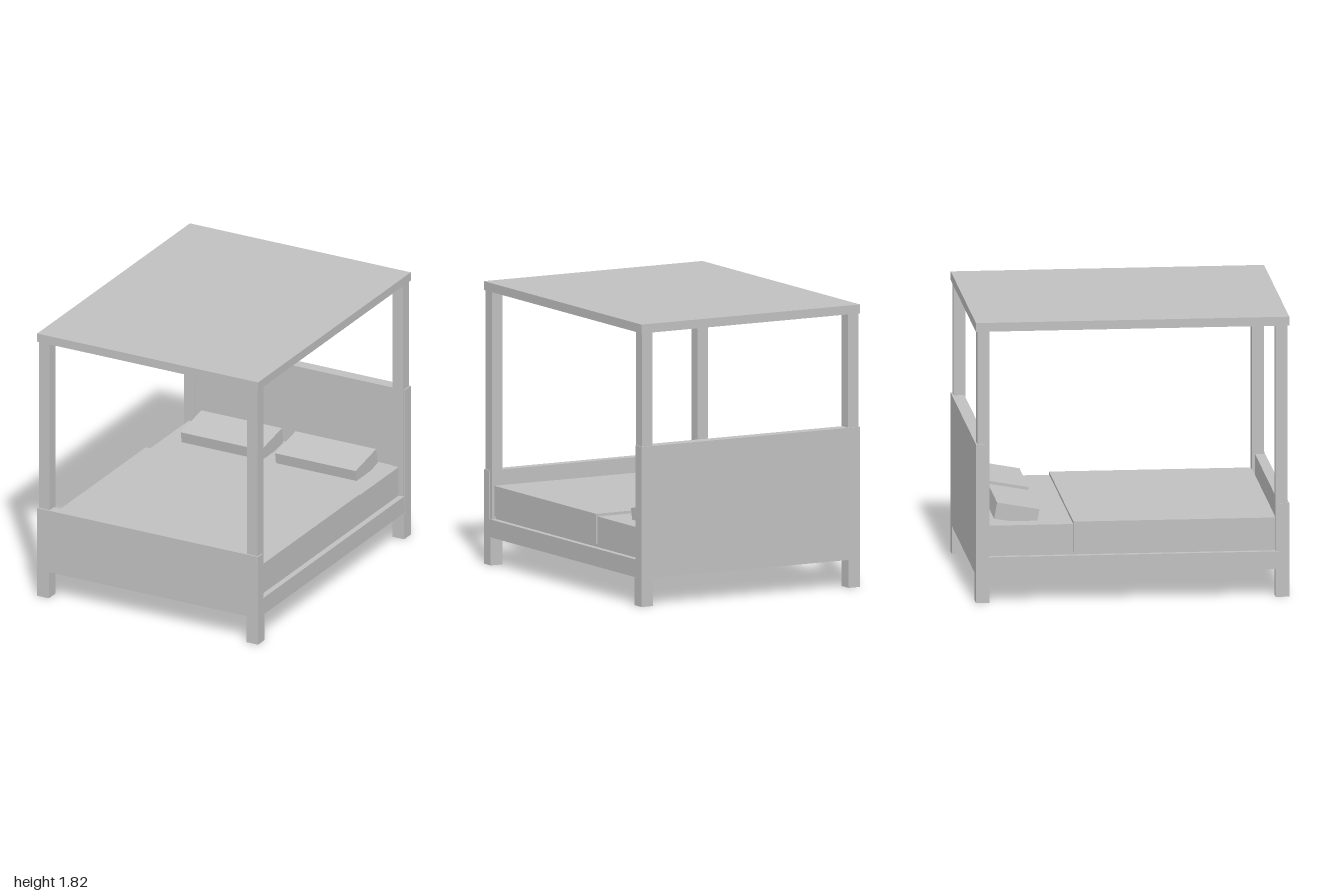
import * as THREE from 'three';

export function createModel() {
  const bed = new THREE.Group();
  bed.name = 'canopyBed';
  const grey = new THREE.MeshStandardMaterial({ color: 0xc0c0c0 });
  grey.name = 'plain grey';

  // Box given by its extents along each axis
  function box(name, [x0, x1], [y0, y1], [z0, z1]) {
    const mesh = new THREE.Mesh(new THREE.BoxGeometry(x1 - x0, y1 - y0, z1 - z0), grey);
    mesh.position.set((x0 + x1) / 2, (y0 + y1) / 2, (z0 + z1) / 2);
    mesh.name = name;
    bed.add(mesh);
    return mesh;
  }

  // Base, end boards and bedding
  box('bedFrame', [-0.8, 0.8], [0.18, 0.295], [-0.99, 0.99]);
  box('footboard', [-0.802, 0.802], [0.18, 0.607], [0.935, 1]);
  box('headboard', [-0.802, 0.802], [0.18, 1.03], [-1, -0.921]);
  box('mattress', [-0.762, 0.762], [0.295, 0.492], [-0.921, 0.914]);
  box('blanket', [-0.775, 0.775], [0.315, 0.51], [-0.375, 0.916]);
  box('canopy', [-0.802, 0.802], [1.76, 1.817], [-1, 1]);

  for (const side of [-1, 1]) {
    const sideName = side > 0 ? 'left' : 'right';
    const spanX = (a, b) => (side > 0 ? [a, b] : [-b, -a]);

    // Legs and canopy posts at each corner
    for (const end of [-1, 1]) {
      const endName = sideName + (end > 0 ? 'Front' : 'Back');
      const spanZ = (a, b) => (end > 0 ? [a, b] : [-b, -a]);
      box(endName + 'Leg', spanX(0.717, 0.802), [0, 0.18], spanZ(0.913, 1));
      box(endName + 'Post', spanX(0.717, 0.794), [0.295, 1.76], spanZ(0.913, 0.99));
    }

    // Pillow tipped up towards the headboard
    const pillow = box(sideName + 'Pillow', spanX(0.05, 0.635), [0.485, 0.591], [-0.86, -0.585]);
    pillow.rotation.x = 0.18;
  }

  return bed;
}
